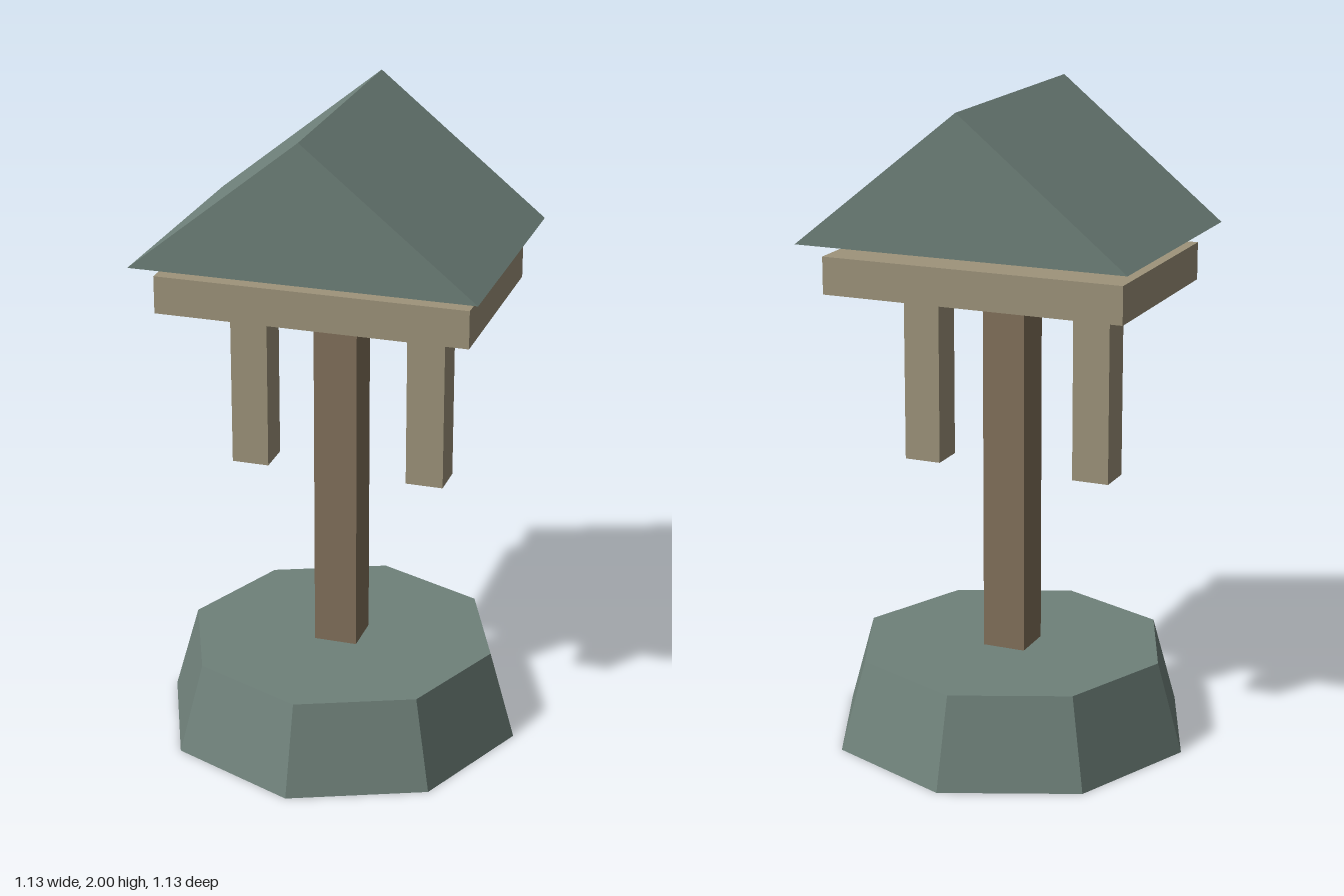
import * as THREE from 'three';

export function createModel() {
  const model = new THREE.Group();
  const material = (name, color) => {
    const m = new THREE.MeshStandardMaterial({ color });
    m.name = name;
    return m;
  };
  const slate = material('slateGreen', 0x6f817a);
  const wood = material('brownWood', 0x82715b);
  const tan = material('paleWood', 0x9e947b);

  const add = (name, geometry, mat, x = 0, y = 0, z = 0) => {
    const mesh = new THREE.Mesh(geometry, mat);
    mesh.name = name;
    mesh.position.set(x, y, z);
    model.add(mesh);
  };
  // Box standing between two heights
  const addBox = (name, mat, width, depth, bottom, top, x = 0) =>
    add(name, new THREE.BoxGeometry(width, top - bottom, depth), mat, x, (bottom + top) / 2);

  // Tapered octagonal base with flat facets
  const base = new THREE.CylinderGeometry(0.485, 0.565, 0.28, 8).toNonIndexed();
  base.computeVertexNormals();
  add('base', base, slate, 0, 0.14);

  // Post, platform under the roof and the two hanging bars
  addBox('post', wood, 0.135, 0.135, 0.27, 1.585);
  addBox('platform', tan, 0.95, 0.63, 1.415, 1.53);
  for (const [name, side] of [['leftHangingBar', 1], ['rightHangingBar', -1]]) {
    addBox(name, tan, 0.116, 0.112, 0.85, 1.42, side * 0.278);
  }

  // Gabled roof prism
  const gable = new THREE.Shape();
  gable.moveTo(-0.52, 1.58);
  gable.lineTo(0.52, 1.58);
  gable.lineTo(0, 2);
  gable.closePath();
  add('roof', new THREE.ExtrudeGeometry(gable, { depth: 0.8, bevelEnabled: false }), slate, 0, 0, -0.4);

  return model;
}
